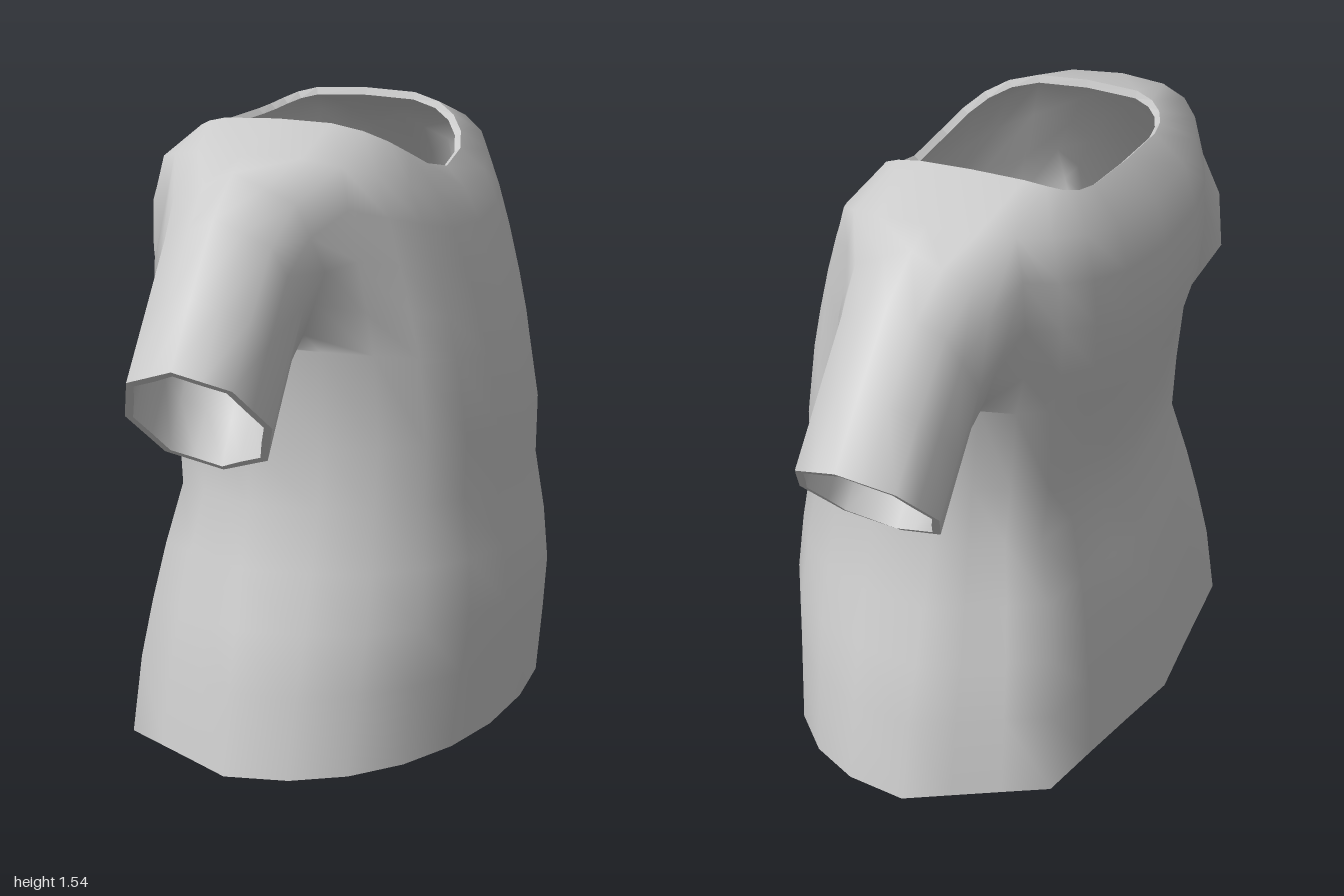
import * as THREE from 'three';

const COLS = 24, MID_X = -0.085, THICK = 0.02;

// Torso rows: [y front, y side, y back, x front, x back, half width, front squareness, back squareness]
// A back squareness of 0 gives a flat back with one corner at each side
const ROWS = [
  [0.02, 0.0, 0.02, 0.45, -0.485, 0.725, 0.9, 0],
  [0.2, 0.2, 0.2, 0.47, -0.468, 0.685, 0.9, 0],
  [0.34, 0.34, 0.34, 0.482, -0.445, 0.64, 0.88, 0],
  [0.48, 0.48, 0.48, 0.472, -0.415, 0.595, 0.86, 0],
  [0.63, 0.63, 0.63, 0.447, -0.372, 0.55, 0.82, 0],
  [0.78, 0.78, 0.78, 0.45, -0.388, 0.535, 0.8, 0],
  [0.95, 1.02, 0.95, 0.42, -0.412, 0.53, 0.78, 0.78],
  [1.06, 1.12, 1.07, 0.395, -0.445, 0.535, 0.78, 0.74],
  [1.17, 1.25, 1.18, 0.362, -0.452, 0.545, 0.78, 0.72],
  [1.26, 1.38, 1.29, 0.327, -0.448, 0.555, 0.78, 0.72],
  [1.34, 1.485, 1.4, 0.288, -0.418, 0.55, 0.75, 0.74],
  [1.395, 1.54, 1.49, 0.24, -0.34, 0.33, 0.65, 0.45],
];
// The armhole spans these rows and columns (mirrored to the other side)
const R0 = 6, R1 = 10, C0 = 4, C1 = 8;

// Sleeve rings: [y, z, half height in y, half height in z, half width in x]
const SLEEVE = [
  [1.225, 0.59, 0.225, 0.035, 0.215],
  [1.155, 0.655, 0.205, 0.09, 0.187],
  [1.03, 0.755, 0.175, 0.125, 0.183],
  [0.91, 0.85, 0.15, 0.15, 0.182],
];

// Unit outline of a quarter section, as [towards front or back, towards the side]
function outline(c, s, p) {
  if (p > 0) return [Math.pow(c, p), Math.pow(s, p)];
  const u = Math.atan2(c, s) / (Math.PI / 4);
  return u < 1 ? [0.8 * u, 1 - 0.26 * u] : [0.6 + 0.2 * u, 0.74 * (2 - u)];
}

function buildCloth() {
  const pos = [], idx = [];
  const quad = (a, b, c, d) => idx.push(a, b, c, a, c, d);
  const at = (r, j) => r * COLS + ((j + COLS) % COLS);

  // Torso vertices
  ROWS.forEach(([yf, ys, yb, xf, xb, w, pf, pb], r) => {
    for (let j = 0; j < COLS; j++) {
      const t = (j / COLS) * Math.PI * 2, c = Math.cos(t), s = Math.sin(t);
      const front = c >= 0;
      const [reach, side] = outline(Math.abs(c), Math.abs(s), front ? pf : pb);
      const x = MID_X + reach * ((front ? xf : xb) - MID_X);
      const isNeck = r === ROWS.length - 1;
      const blend = Math.pow(side, isNeck && !front ? 6 : 2);
      const y0 = front ? yf : yb;
      pos.push(x, y0 + (ys - y0) * blend, Math.sign(s) * side * w);
    }
  });

  // Torso faces, leaving out the armholes
  for (let r = 0; r < ROWS.length - 1; r++) {
    for (let j = 0; j < COLS; j++) {
      const k = j < COLS / 2 ? j : COLS - 1 - j;
      if (r >= R0 && r < R1 && k >= C0 && k < C1) continue;
      quad(at(r, j), at(r + 1, j), at(r + 1, j + 1), at(r, j + 1));
    }
  }

  // Sleeves grow from the armhole edge into eight-sided tubes
  for (const side of [1, -1]) {
    const mid = (C0 + C1) / 2, loop = [];
    for (let j = mid; j < C1; j++) loop.push([R1, j]);
    for (let r = R1; r > R0; r--) loop.push([r, C1]);
    for (let j = C1; j > C0; j--) loop.push([R0, j]);
    for (let r = R0; r < R1; r++) loop.push([r, C0]);
    for (let j = C0; j < mid; j++) loop.push([R1, j]);
    const n = loop.length;
    let prev = loop.map(([r, j]) => at(r, side * j));
    for (const [y, z, hy, hz, hx] of SLEEVE) {
      const ring = [];
      for (let i = 0; i < n; i++) {
        const t = (i / n) * Math.PI * 2;
        const flat = i % 2 ? Math.cos(Math.PI / 8) : 1;
        const c = Math.cos(t) * flat, s = Math.sin(t) * flat;
        ring.push(pos.length / 3);
        pos.push(MID_X - hx * s, y + hy * c, side * (z + hz * c));
      }
      for (let i = 0; i < n; i++) {
        const k = (i + 1) % n;
        if (side > 0) quad(prev[i], prev[k], ring[k], ring[i]);
        else quad(prev[i], ring[i], ring[k], prev[k]);
      }
      prev = ring;
    }
  }
  return { pos, idx };
}

function makeGeometry(pos, idx) {
  const g = new THREE.BufferGeometry();
  g.setAttribute('position', new THREE.Float32BufferAttribute(pos, 3));
  if (idx) g.setIndex(idx);
  g.computeVertexNormals();
  return g;
}

export function createModel() {
  const group = new THREE.Group();
  group.name = 'shirt';
  const material = new THREE.MeshStandardMaterial({ color: 0xcccccc });
  const add = (name, geometry) => {
    const mesh = new THREE.Mesh(geometry, material);
    mesh.name = name;
    group.add(mesh);
  };

  const { pos, idx } = buildCloth();
  const outer = makeGeometry(pos, idx);
  add('outerCloth', outer);

  // Lining: the cloth moved inward and turned over
  const normal = outer.attributes.normal.array;
  const inPos = pos.map((v, i) => v - normal[i] * THICK);
  const inIdx = [];
  for (let i = 0; i < idx.length; i += 3) inIdx.push(idx[i], idx[i + 2], idx[i + 1]);
  add('lining', makeGeometry(inPos, inIdx));

  // Hems: strips closing the open edges at neck, waist and cuffs
  const edges = new Set();
  const eachEdge = (fn) => {
    for (let i = 0; i < idx.length; i += 3)
      for (let e = 0; e < 3; e++) fn(idx[i + e], idx[i + ((e + 1) % 3)]);
  };
  eachEdge((a, b) => edges.add(a + '_' + b));
  const rim = [];
  const put = (src, i) => rim.push(src[i * 3], src[i * 3 + 1], src[i * 3 + 2]);
  eachEdge((a, b) => {
    if (edges.has(b + '_' + a)) return;
    put(pos, b); put(pos, a); put(inPos, a);
    put(pos, b); put(inPos, a); put(inPos, b);
  });
  add('hems', makeGeometry(rim));
  return group;
}
